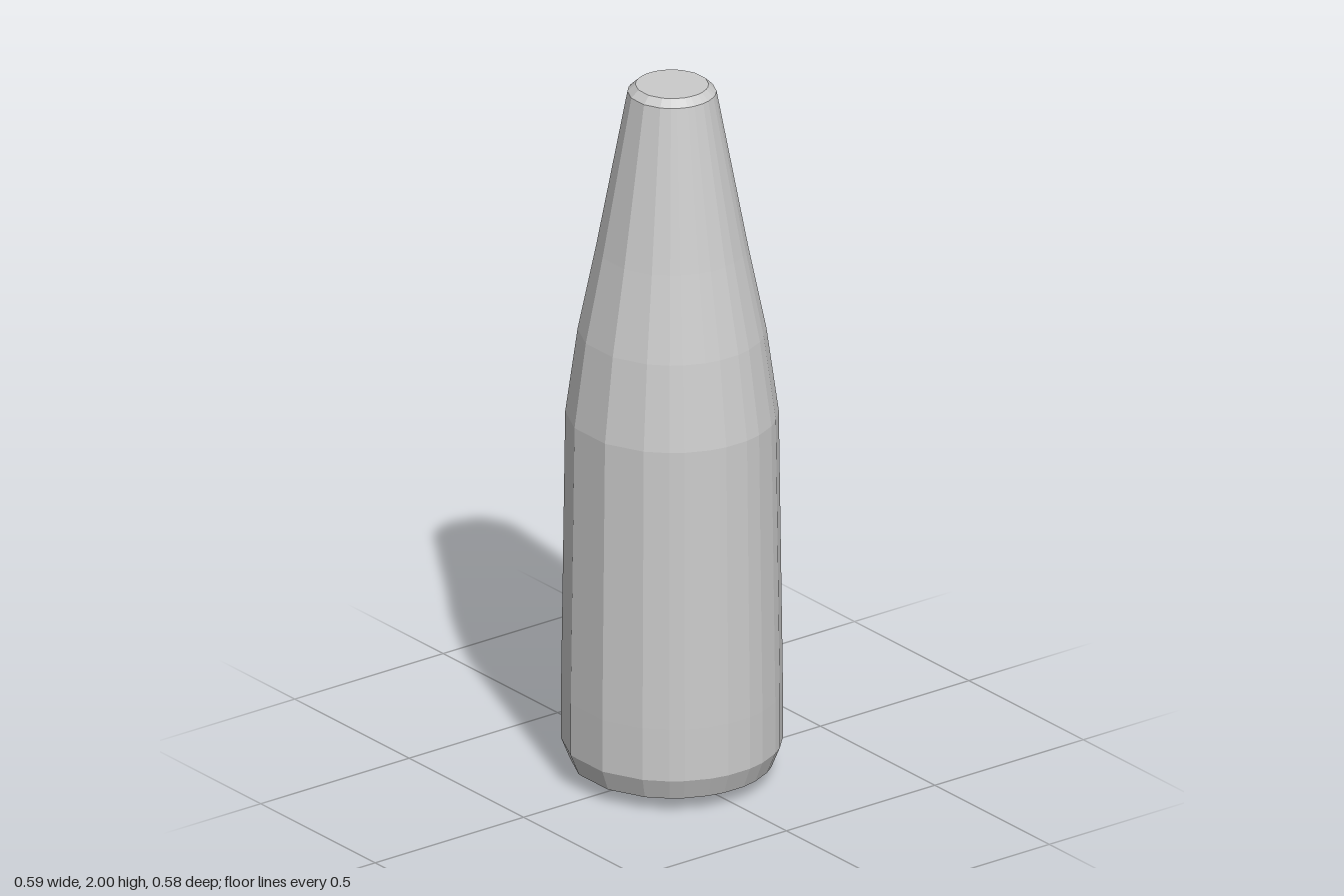
import * as THREE from 'three';

// Uneven facet angles of one quarter, in degrees, mirrored around the full turn
const QUARTER = [7, 17, 31, 39, 53, 76.5];
const HALF = [...QUARTER, ...QUARTER.map((a) => 180 - a).reverse()];
const ANGLES = [...HALF, ...HALF.map((a) => a + 180)].map(THREE.MathUtils.degToRad);

// Turns a profile of [radius, height] pairs into a solid with the uneven facets
function facetedLathe(profile) {
  const sides = ANGLES.length;
  const geometry = new THREE.LatheGeometry(profile.map(([r, y]) => new THREE.Vector2(r, y)), sides);
  const position = geometry.attributes.position;
  for (let i = 0; i <= sides; i++) {
    // minus keeps the winding outward: the lathe sweeps from +z towards +x
    const angle = Math.PI / 2 - ANGLES[(sides - i) % sides];
    profile.forEach(([r, y], j) => {
      position.setXYZ(i * profile.length + j, r * Math.sin(angle), y, r * Math.cos(angle));
    });
  }
  geometry.computeVertexNormals();
  return geometry;
}

export function createModel() {
  const group = new THREE.Group();
  group.name = 'bottle';
  const material = new THREE.MeshStandardMaterial({ color: 0xcccccc, flatShading: true });

  // Base chamfers, near-straight body, sloping shoulder, long neck and bevelled lip
  const profile = [
    [0, 0], [0.178, 0], [0.272, 0.04], [0.296, 0.1], [0.296, 0.25],
    [0.285, 1.05], [0.252, 1.29], [0.203, 1.53], [0.119, 1.98], [0.098, 2], [0, 2],
  ];
  const body = new THREE.Mesh(facetedLathe(profile), material);
  body.name = 'bottleBody';
  group.add(body);
  return group;
}
